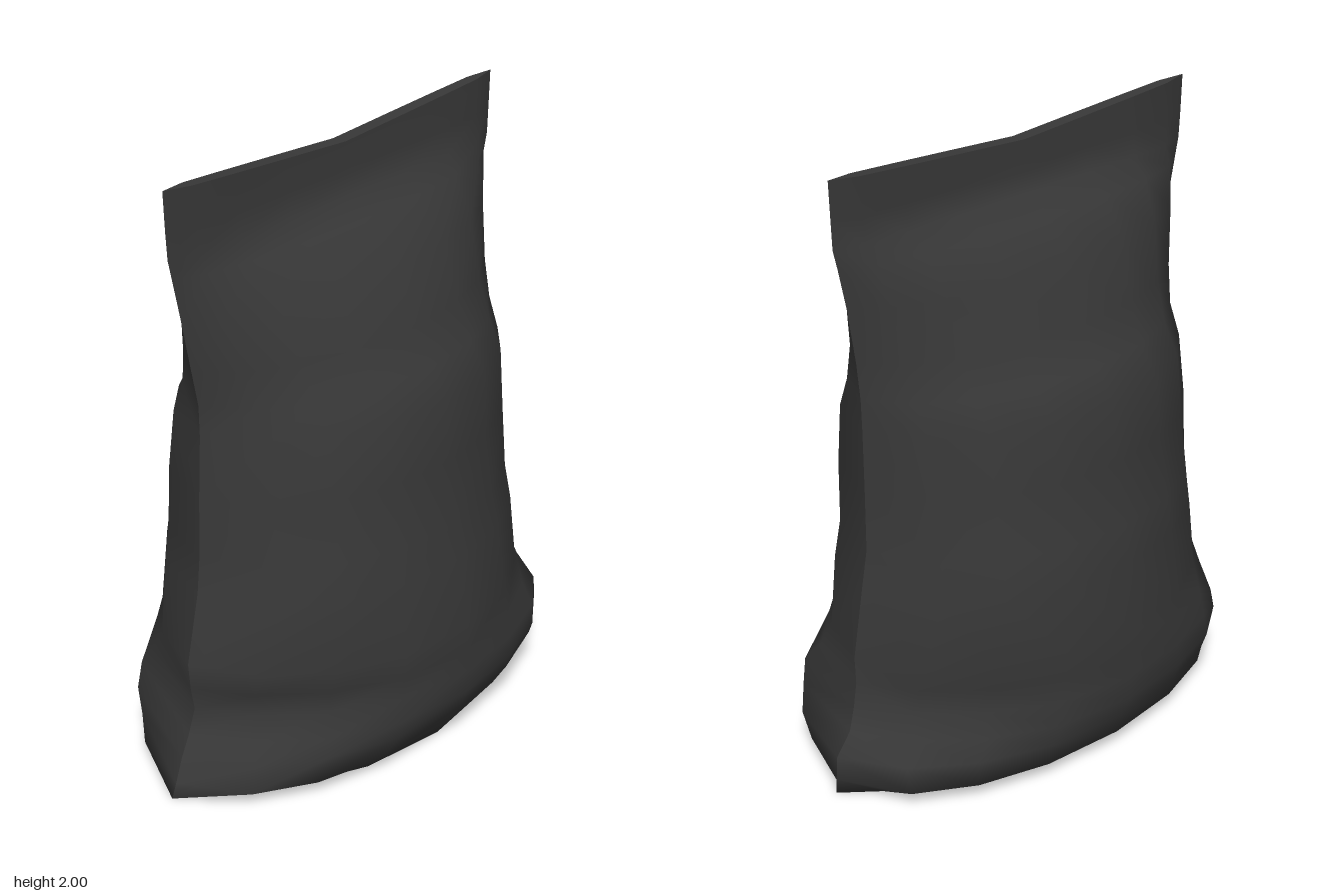
import * as THREE from 'three';

const SEAM_Z = -0.01;
// Positions across the width, from side seam to side seam
const ACROSS = [-1, -0.87, -0.65, -0.36, 0, 0.36, 0.65, 0.87, 1];

// Cross-sections: [y, left end x, right end x, front z, back z, taper of full corners, taper of folded corners]
// A small taper gives a full, boxy corner; a large one pinches it towards the side seam.
const BODY = [
  [0.005, -0.83, 0.83, -0.01, -0.01, 1, 1],
  [0.003, -0.83, 0.83, 0.405, -0.395, 0.9, 0.95],
  [0.05, -0.81, 0.828, 0.435, -0.46, 0.45, 0.48],
  [0.13, -0.78, 0.822, 0.485, -0.49, 0.4, 0.6],
  [0.2, -0.745, 0.765, 0.515, -0.515, 0.33, 0.68],
  [0.28, -0.715, 0.745, 0.518, -0.515, 0.32, 0.78],
  [0.36, -0.73, 0.732, 0.52, -0.515, 0.48, 0.75],
  [0.45, -0.738, 0.736, 0.52, -0.515, 0.65, 0.6],
  [0.68, -0.685, 0.695, 0.48, -0.495, 0.56, 0.45],
  [0.8, -0.672, 0.672, 0.458, -0.47, 0.55, 0.46],
  [1.0, -0.665, 0.672, 0.422, -0.43, 0.5, 0.5],
  [1.2, -0.654, 0.674, 0.41, -0.42, 0.55, 0.55],
  [1.3, -0.656, 0.677, 0.35, -0.35, 0.6, 0.6],
  [1.42, -0.682, 0.69, 0.288, -0.287, 0.62, 0.62],
  [1.6, -0.72, 0.72, 0.22, -0.232, 0.65, 0.65],
  [1.73, -0.75, 0.75, 0.1, -0.14, 0.55, 0.55],
  [1.79, -0.764, 0.766, 0.038, -0.052, 0.25, 0.25],
  [1.88, -0.77, 0.77, 0.022, -0.042, 0.15, 0.15],
  [2.0, -0.775, 0.775, 0.014, -0.035, 0.15, 0.15],
];
const TOP_EDGE = [BODY[BODY.length - 1], [2.0, -0.775, 0.775, -0.01, -0.01, 1, 1]];

// The upper border sags towards its middle
function sag(y, u) {
  const t = Math.max(0, (y - 1.79) / 0.21);
  return y - 0.045 * t * (1 - Math.abs(u));
}

// One panel (front or back) lofted through the cross-sections
function panel(rows, front) {
  const positions = [];
  const indices = [];
  for (const [y, xMin, xMax, zFront, zBack, fullTaper, foldedTaper] of rows) {
    const depth = (front ? zFront : zBack) - SEAM_Z;
    for (const u of ACROSS) {
      // Full and folded corners sit diagonally opposite each other
      const taper = front === u > 0 ? fullTaper : foldedTaper;
      const x = (xMin + xMax) / 2 + (u * (xMax - xMin)) / 2;
      positions.push(x, sag(y, u), SEAM_Z + depth * Math.pow(1 - u * u, taper));
    }
  }
  const stride = ACROSS.length;
  for (let r = 0; r < rows.length - 1; r++) {
    for (let i = 0; i < stride - 1; i++) {
      const a = r * stride + i;
      const b = a + 1;
      const c = a + stride;
      const d = c + 1;
      if (front) indices.push(a, b, d, a, d, c);
      else indices.push(a, d, b, a, c, d);
    }
  }
  const geometry = new THREE.BufferGeometry();
  geometry.setAttribute('position', new THREE.Float32BufferAttribute(positions, 3));
  geometry.setIndex(indices);
  geometry.computeVertexNormals();
  return geometry;
}

export function createModel() {
  const bag = new THREE.Group();
  bag.name = 'bag';
  const foil = new THREE.MeshStandardMaterial({ color: 0x383838, side: THREE.DoubleSide });

  // Front and back panels meet in a sharp seam along both sides
  const parts = { Body: BODY, TopEdge: TOP_EDGE };
  for (const [name, rows] of Object.entries(parts)) {
    for (const front of [true, false]) {
      const mesh = new THREE.Mesh(panel(rows, front), foil);
      mesh.name = (front ? 'front' : 'back') + name;
      bag.add(mesh);
    }
  }
  return bag;
}
